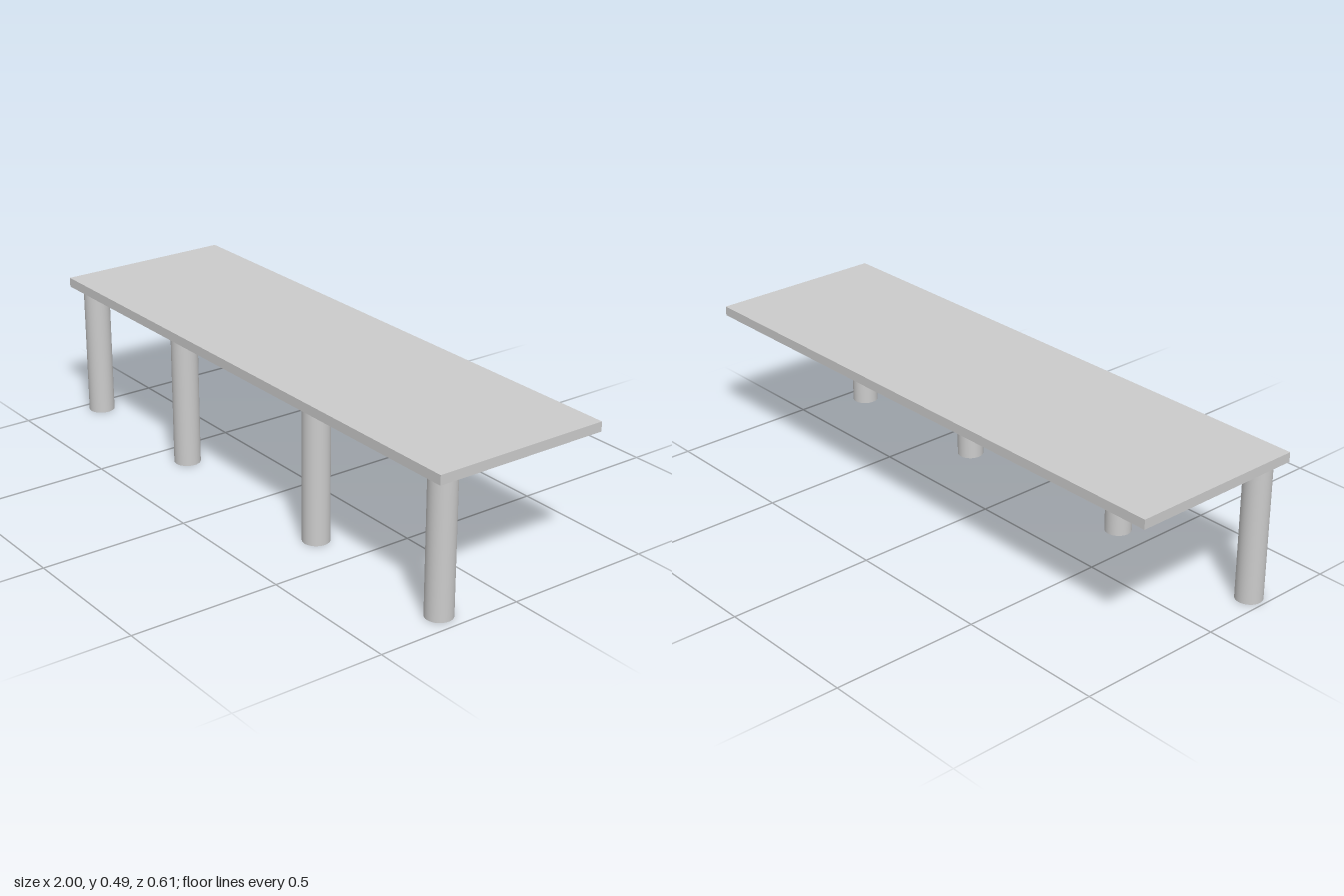
import * as THREE from 'three';

export function createModel() {
  const model = new THREE.Group();
  model.name = 'canopy';
  const material = new THREE.MeshStandardMaterial({ color: 0xcccccc });

  const legHeight = 0.46;
  const slabThickness = 0.032;

  // Flat slab resting on the legs
  const slab = new THREE.Mesh(new THREE.BoxGeometry(2, slabThickness, 0.608), material);
  slab.name = 'slab';
  slab.position.y = legHeight + slabThickness / 2;
  model.add(slab);

  // Single row of unevenly spaced round legs along the front edge
  const legGeometry = new THREE.CylinderGeometry(0.0445, 0.0445, legHeight, 32);
  [-0.944, -0.385, 0.339, 0.927].forEach((x, i) => {
    const leg = new THREE.Mesh(legGeometry, material);
    leg.name = `leg${i + 1}`;
    leg.position.set(x, legHeight / 2, 0.232);
    model.add(leg);
  });

  return model;
}
